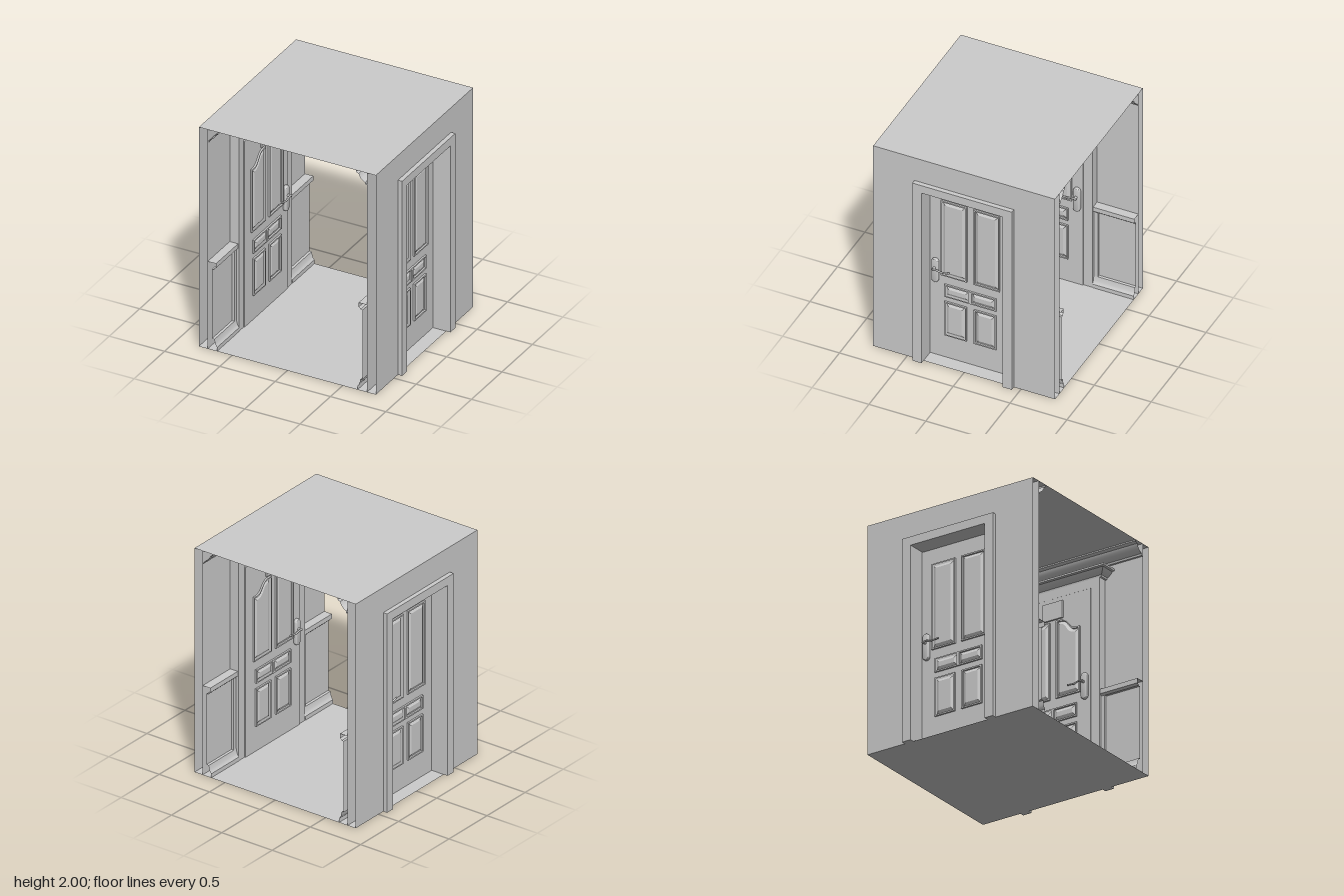
import * as THREE from 'three';
import { toCreasedNormals } from 'three/addons/utils/BufferGeometryUtils.js';

const solid = new THREE.MeshStandardMaterial({ color: 0xcccccc });
const sheet = new THREE.MeshStandardMaterial({ color: 0xcccccc, side: THREE.DoubleSide });

function add(parent, name, geometry, material = solid, x = 0, y = 0, z = 0) {
  const mesh = new THREE.Mesh(geometry, material);
  mesh.name = name;
  mesh.position.set(x, y, z);
  parent.add(mesh);
  return mesh;
}

// Outline of a wall or frame with a doorway cut up from the floor
function doorwayShape(w, h, openW, openH) {
  return new THREE.Shape([
    [-w, 0], [-openW, 0], [-openW, openH], [openW, openH], [openW, 0], [w, 0], [w, h], [-w, h],
  ].map(([x, y]) => new THREE.Vector2(x, y)));
}

// Open moulding: profile [offset, y] swept along path [x, z, offsetDirX, offsetDirZ]
function moulding(profile, path) {
  const pos = [], index = [], n = profile.length;
  for (const [x, z, dx, dz] of path)
    for (const [o, y] of profile) pos.push(x + dx * o, y, z + dz * o);
  for (let i = 0; i < path.length - 1; i++)
    for (let j = 0; j < n - 1; j++) {
      const a = i * n + j, b = a + n;
      index.push(a, a + 1, b, b, a + 1, b + 1);
    }
  const g = new THREE.BufferGeometry();
  g.setAttribute('position', new THREE.Float32BufferAttribute(pos, 3));
  g.setIndex(index);
  g.computeVertexNormals();
  return toCreasedNormals(g, 0.6);
}

// Panel outline; side mirrors it, rise lifts the top towards the door's middle
function panelOutline(side, x0, x1, y0, y1, rise, inset) {
  const a = side * (x0 + inset), b = side * (x1 - inset), top = y1 - inset, low = top - rise;
  const s = new THREE.Shape();
  s.moveTo(a, y0 + inset);
  s.lineTo(b, y0 + inset);
  s.lineTo(b, low);
  if (rise) {
    s.lineTo(b + (a - b) * 0.15, low);
    s.bezierCurveTo(b + (a - b) * 0.5, low, b + (a - b) * 0.45, top, a + (b - a) * 0.15, top);
  }
  s.lineTo(a, top);
  s.closePath();
  return s;
}

// Rim moulding with a bevelled raised field inside
function addPanel(face, side, x0, x1, y0, y1, rise = 0) {
  const rim = panelOutline(side, x0, x1, y0, y1, rise, 0);
  rim.holes.push(panelOutline(side, x0, x1, y0, y1, rise, 0.012));
  add(face, 'panelRim', new THREE.ExtrudeGeometry(rim, { depth: 0.015, bevelEnabled: false, curveSegments: 8 }));
  const field = panelOutline(side, x0, x1, y0, y1, rise, 0.018);
  add(face, 'panelField', new THREE.ExtrudeGeometry(field, {
    depth: 0.001, bevelThickness: 0.012, bevelSize: 0.022, bevelOffset: -0.022, bevelSegments: 1, curveSegments: 8,
  }));
}

function addHandle(face, x, dir) {
  const handle = new THREE.Group();
  handle.name = 'handle';
  handle.position.set(x, 0.85, 0);
  const r = 0.024, h = 0.085;
  const plate = new THREE.Shape();
  plate.absarc(0, h, r, 0, Math.PI, false);
  plate.absarc(0, -h, r, Math.PI, Math.PI * 2, false);
  const plateGeo = new THREE.ExtrudeGeometry(plate, {
    depth: 0.016, bevelThickness: 0.01, bevelSize: 0.006, bevelSegments: 3, curveSegments: 10,
  });
  add(handle, 'handlePlate', toCreasedNormals(plateGeo, 0.7));
  const neck = add(handle, 'handleNeck', new THREE.CylinderGeometry(0.01, 0.012, 0.04, 12), solid, 0, 0.03, 0.035);
  neck.rotation.x = Math.PI / 2;
  const curve = new THREE.CatmullRomCurve3([
    [-0.008, 0.03, 0.052], [0.03, 0.034, 0.054], [0.07, 0.024, 0.052], [0.105, 0.026, 0.05], [0.135, 0.032, 0.046],
  ].map(([px, py, pz]) => new THREE.Vector3(px * dir, py, pz)));
  add(handle, 'handleLever', new THREE.TubeGeometry(curve, 20, 0.0075, 8));
  for (const t of [0, 1])
    add(handle, 'leverEnd', new THREE.SphereGeometry(0.008, 10, 8), solid, ...curve.getPoint(t).toArray());
  face.add(handle);
}

// One side of the door, built facing +z and turned towards the room or the outside
function doorFace(inner) {
  const face = new THREE.Group();
  face.name = inner ? 'doorInnerFace' : 'doorOuterFace';
  for (const side of [-1, 1]) {
    if (inner) addPanel(face, side, 0.03, 0.26, 0.815, 1.49, 0.1);
    else addPanel(face, side, 0.03, 0.258, 0.815, 1.56);
    addPanel(face, side, 0, 0.228, 0.61, 0.73);
    addPanel(face, side, 0.033, 0.228, 0.225, 0.56);
  }
  if (inner) add(face, 'doorPlate', new THREE.BoxGeometry(0.19, 0.15, 0.015), solid, 0, 1.582, 0.0075);
  const s = inner ? 1 : -1;
  addHandle(face, 0.307 * s, -s);
  face.position.x = inner ? 0.63 : 0.68;
  face.rotation.y = -s * Math.PI / 2;
  return face;
}

const WAINSCOT = [
  [0.085, 0], [0.085, 0.035], [0.074, 0.05], [0.068, 0.065], [0.062, 0.09], [0.06, 0.102], [0.04, 0.105],
  [0.04, 0.738], [0.058, 0.74], [0.066, 0.752], [0.075, 0.756], [0.075, 0.797], [0, 0.797],
];
const CEILING_CROWN = [
  [0, 1.89], [0.015, 1.892], [0.018, 1.908], [0.035, 1.918], [0.055, 1.935], [0.068, 1.955],
  [0.075, 1.975], [0.09, 1.978], [0.1, 1.988], [0.1, 1.999],
];
const DOOR_CROWN = [
  [0, 1.775], [0.01, 1.775], [0.012, 1.79], [0.025, 1.797], [0.04, 1.808], [0.052, 1.82],
  [0.06, 1.833], [0.08, 1.837], [0.08, 1.852], [0, 1.852],
];

// Complete wall on the +x side
function buildSide() {
  const side = new THREE.Group();
  const wall = new THREE.ShapeGeometry(doorwayShape(0.8, 2, 0.38, 1.72));
  add(side, 'outerWall', wall, sheet, 0.8).rotation.y = Math.PI / 2;
  add(side, 'innerWall', wall, sheet, 0.72).rotation.y = -Math.PI / 2;

  const frame = new THREE.ExtrudeGeometry(doorwayShape(0.437, 1.775, 0.357, 1.7), { depth: 0.2, bevelEnabled: false });
  add(side, 'doorFrame', frame, solid, 0.638).rotation.y = Math.PI / 2;

  add(side, 'doorSlab', new THREE.BoxGeometry(0.05, 1.695, 0.714), solid, 0.655, 0.8475, 0);
  side.add(doorFace(true), doorFace(false));

  // Crown above the door with returns to the wall
  add(side, 'doorCrown', moulding(DOOR_CROWN, [
    [0.72, 0.445, 0, 1], [0.65, 0.445, -1, 1], [0.65, -0.445, -1, -1], [0.72, -0.445, 0, -1],
  ]), sheet);
  add(side, 'doorCrownCore', new THREE.BoxGeometry(0.07, 0.077, 0.89), solid, 0.685, 1.8135, 0);

  add(side, 'ceilingCrown', moulding(CEILING_CROWN, [[0.72, 0.8, -1, 0], [0.72, -0.8, -1, 0]]), sheet);

  // Skirting, panel and chair rail either side of the door
  for (const [z0, z1] of [[0.8, 0.437], [-0.437, -0.8]])
    add(side, 'wainscot', moulding(WAINSCOT, [[0.72, z0, -1, 0], [0.72, z1, -1, 0]]), sheet);
  for (const s of [-1, 1])
    add(side, 'wainscotStile', new THREE.BoxGeometry(0.06, 0.64, 0.035), solid, 0.69, 0.42, s * 0.455);
  return side;
}

export function createModel() {
  const model = new THREE.Group();
  model.name = 'corridorSection';
  const slab = new THREE.PlaneGeometry(1.6, 1.6);
  add(model, 'floor', slab, sheet).rotation.x = -Math.PI / 2;
  add(model, 'ceiling', slab, sheet, 0, 2, 0).rotation.x = -Math.PI / 2;

  const left = buildSide();
  left.name = 'leftWall';
  const right = buildSide();
  right.name = 'rightWall';
  right.rotation.y = Math.PI;
  model.add(left, right);
  return model;
}
